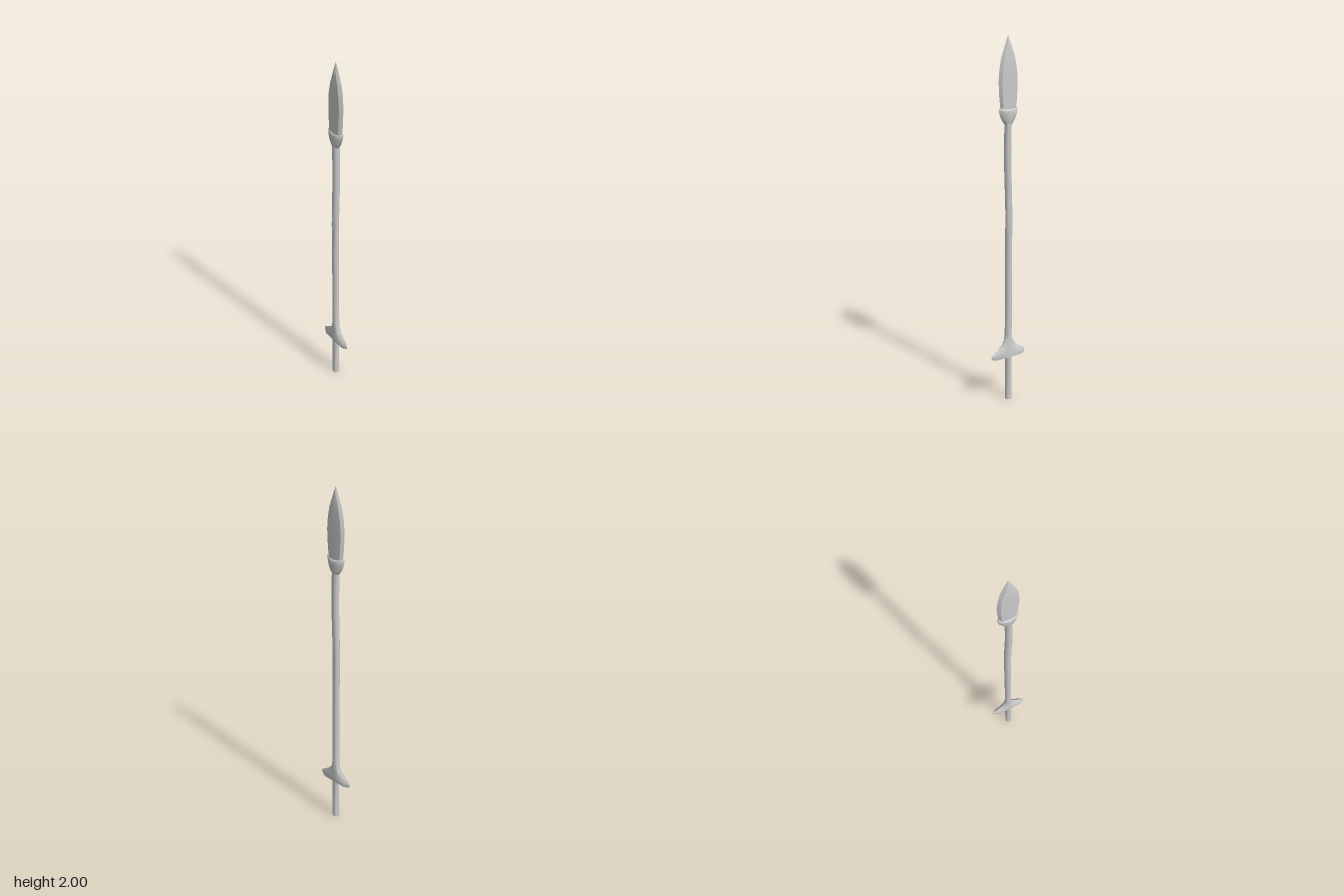
import * as THREE from 'three';
import { toCreasedNormals } from 'three/addons/utils/BufferGeometryUtils.js';

const material = new THREE.MeshStandardMaterial({ color: 0xcccccc });

// Lofts eight-sided sections, listed bottom to top as
// [y, centre x, half width, shoulder x, shoulder z, middle z, dip of the middle].
function loft(name, rows, crease) {
  const positions = [], index = [];
  for (const [y, cx, w, k, e, d, dip = 0] of rows) {
    const ring = [[w, 0], [k, -e], [0, -d], [-k, -e], [-w, 0], [-k, e], [0, d], [k, e]];
    for (const [x, z] of ring) {
      positions.push(cx + x, y - dip * (1 - Math.abs(x) / (w || 1)), z);
    }
  }
  for (let i = 0; i < rows.length - 1; i++) {
    for (let j = 0; j < 8; j++) {
      const a = i * 8 + j, b = i * 8 + (j + 1) % 8;
      index.push(a, b, b + 8, a, b + 8, a + 8);
    }
  }
  // end caps
  const top = (rows.length - 1) * 8;
  for (let j = 1; j < 7; j++) index.push(0, j + 1, j, top, top + j, top + j + 1);

  const geometry = new THREE.BufferGeometry();
  geometry.setAttribute('position', new THREE.Float32BufferAttribute(positions, 3));
  geometry.setIndex(index);
  const mesh = new THREE.Mesh(toCreasedNormals(geometry, crease), material);
  mesh.name = name;
  return mesh;
}

// A round section of the shaft
const round = (y, cx, r = 0.019) => [y, cx, r, r * 0.707, r * 0.707, r];

export function createModel() {
  const group = new THREE.Group();
  group.name = 'spear';

  // Straight grip below the guard
  group.add(loft('grip', [round(0, 0), round(0.28, 0)], 0.9));

  // Flat flared guard running up into a slightly wavy shaft
  group.add(loft('guardAndShaft', [
    [0.265, 0, 0.100, 0.076, 0.014, 0.018],
    [0.278, 0, 0.108, 0.082, 0.015, 0.018],
    [0.292, 0, 0.103, 0.076, 0.015, 0.018],
    [0.310, 0, 0.078, 0.058, 0.014, 0.018],
    [0.332, 0, 0.050, 0.036, 0.014, 0.018],
    [0.360, 0, 0.030, 0.021, 0.0135, 0.019],
    round(0.40, 0, 0.020),
    round(0.55, -0.001),
    round(0.75, -0.001),
    round(0.95, -0.003),
    round(1.10, -0.004),
    round(1.22, -0.001),
    round(1.35, 0.003),
    round(1.46, 0.003),
    round(1.60, 0),
  ], 0.9));

  // Cup-shaped socket holding the blade
  group.add(loft('socket', [
    [1.562, 0, 0.016, 0.011, 0.011, 0.016],
    [1.575, 0, 0.029, 0.019, 0.014, 0.020],
    [1.595, 0, 0.042, 0.028, 0.016, 0.022],
    [1.618, 0, 0.050, 0.034, 0.017, 0.023],
    [1.643, 0, 0.056, 0.038, 0.017, 0.023, 0.008],
    [1.650, 0, 0.052, 0.036, 0.014, 0.018, 0.010],
  ], 0.75));

  // Leaf blade with bevelled edges and a faint middle ridge
  group.add(loft('blade', [
    [1.610, 0, 0.041, 0.032, 0.013, 0.016],
    [1.650, 0, 0.046, 0.035, 0.013, 0.016],
    [1.710, 0, 0.052, 0.039, 0.013, 0.016],
    [1.780, 0, 0.055, 0.041, 0.013, 0.016],
    [1.840, 0, 0.050, 0.037, 0.013, 0.016],
    [1.890, 0, 0.041, 0.028, 0.012, 0.015],
    [1.960, 0, 0.016, 0.006, 0.008, 0.009],
    [2.000, 0, 0, 0, 0, 0],
  ], 0.25));

  return group;
}
